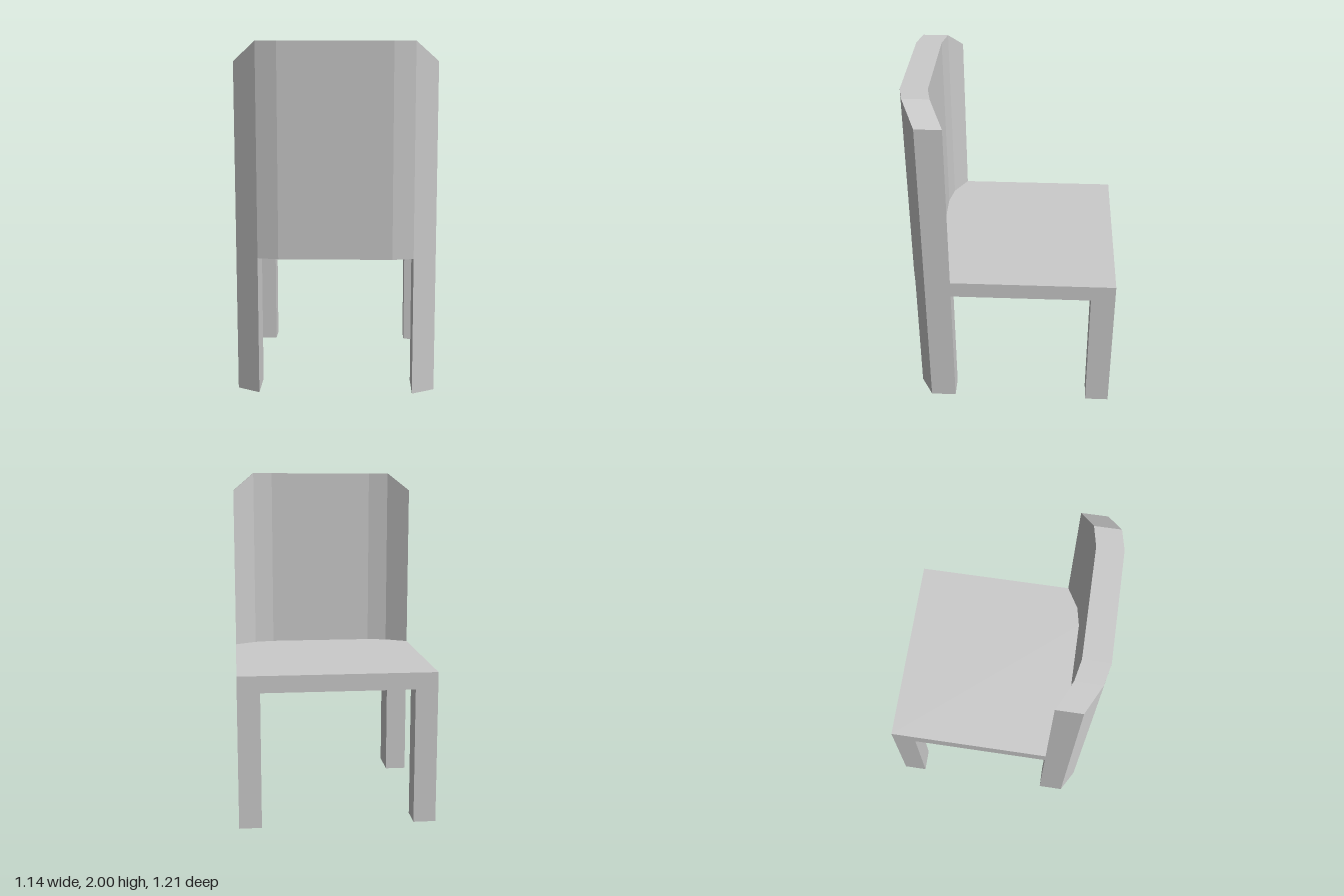
import * as THREE from 'three';

const SEAT_BOTTOM = 0.792, SEAT_TOP = 0.89;

// Backrest stations across x: [x, seat-side z, outer z, top y]
const half = [[0.32, 0.455, 0.606, 2], [0.44, 0.43, 0.58, 2], [0.57, 0.355, 0.505, 1.89]];
const stations = [...half.map(([x, ...r]) => [-x, ...r]).reverse(), ...half];

const material = new THREE.MeshStandardMaterial({ color: 0xcccccc, flatShading: true });

function addMesh(group, name, geometry) {
  const mesh = new THREE.Mesh(geometry, material);
  mesh.name = name;
  group.add(mesh);
  return mesh;
}

// Vertical prism from a plan outline of [x, z] points
function prism(plan, y0, y1) {
  const shape = new THREE.Shape(plan.map(([x, z]) => new THREE.Vector2(x, z)));
  const g = new THREE.ExtrudeGeometry(shape, { depth: y1 - y0, bevelEnabled: false });
  return g.rotateX(Math.PI / 2).translate(0, y1, 0);
}

// Curved back slab: four-cornered sections joined along x
function backrestGeometry() {
  const rings = stations.map(([x, inner, outer, top]) => [
    [x, SEAT_BOTTOM, inner], [x, SEAT_BOTTOM, outer], [x, top, outer], [x, top, inner],
  ]);
  const pos = [];
  const quad = (a, b, c, d) => pos.push(...a, ...b, ...c, ...a, ...c, ...d);
  for (let i = 0; i < rings.length - 1; i++) {
    const p = rings[i], q = rings[i + 1];
    for (let j = 0; j < 4; j++) {
      const k = (j + 1) % 4;
      quad(p[j], q[j], q[k], p[k]);
    }
  }
  const first = rings[0], last = rings[rings.length - 1];
  quad(first[0], first[1], first[2], first[3]);
  quad(last[3], last[2], last[1], last[0]);
  const g = new THREE.BufferGeometry();
  g.setAttribute('position', new THREE.Float32BufferAttribute(pos, 3));
  g.computeVertexNormals();
  return g;
}

export function createModel() {
  const chair = new THREE.Group();
  chair.name = 'chair';

  addMesh(chair, 'backrest', backrestGeometry());

  // Seat panel, its rear edge following the backrest curve
  const seatPlan = [[0.57, -0.606], [-0.57, -0.606], ...stations.map(([x, z]) => [x, z])];
  addMesh(chair, 'seat', prism(seatPlan, SEAT_BOTTOM, SEAT_TOP));

  // Legs; those under the backrest share its slanted outer face
  for (const [side, s] of [['left', 1], ['right', -1]]) {
    const plainLeg = [[0.44, -0.606], [0.57, -0.606], [0.57, -0.465], [0.44, -0.465]];
    const slantedLeg = [[0.44, 0.355], [0.57, 0.355], [0.57, 0.505], [0.44, 0.58]];
    const mirror = (plan) => plan.map(([x, z]) => [x * s, z]);
    addMesh(chair, side + 'SeatLeg', prism(mirror(plainLeg), 0, SEAT_BOTTOM));
    addMesh(chair, side + 'BackrestLeg', prism(mirror(slantedLeg), 0, SEAT_BOTTOM));
  }
  return chair;
}
